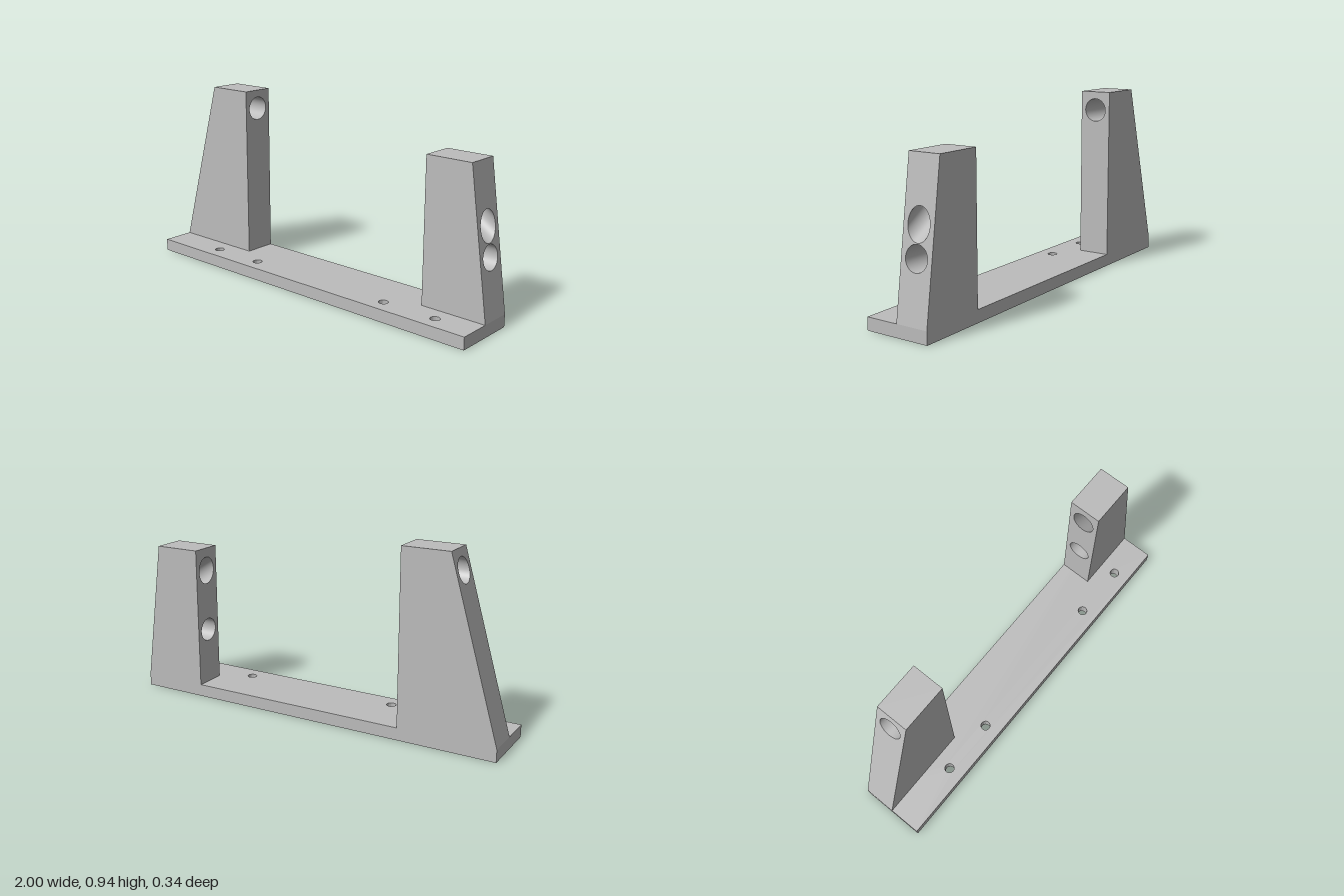
import * as THREE from 'three';
import { toCreasedNormals } from 'three/addons/utils/BufferGeometryUtils.js';

const PLATE_TOP = 0.063, HALF_DEPTH = 0.168, HALF_POST = 0.084, SEGMENTS = 48;

// Surface stretched between two matching rings of 3D points
function loft(a, b, closed, smooth) {
  const n = a.length, index = [];
  for (let i = 0; i < (closed ? n : n - 1); i++) {
    const j = (i + 1) % n;
    index.push(i, j, n + j, i, n + j, n + i);
  }
  const geometry = new THREE.BufferGeometry().setFromPoints([...a, ...b]);
  geometry.setIndex(index);
  const result = smooth ? geometry : geometry.toNonIndexed();
  result.computeVertexNormals();
  return result;
}

// End face through an outline and hole rings; side +1 looks outward, -1 inward
function endFace(outline, rings, side, xAt) {
  const flat = (ring) => ring.map((p) => new THREE.Vector2(-side * p.z, p.y));
  const shape = new THREE.Shape(flat(outline));
  rings.forEach((ring) => shape.holes.push(new THREE.Path(flat(ring))));
  const geometry = new THREE.ShapeGeometry(shape);
  const pos = geometry.attributes.position;
  for (let i = 0; i < pos.count; i++) {
    const z = -side * pos.getX(i), y = pos.getY(i);
    pos.setXYZ(i, xAt(y), y, z);
  }
  geometry.computeVertexNormals();
  return geometry;
}

// Upright with a vertical inner face, sloping outer face and bored holes
function makePost(name, material, { inner, outerTop, top, bores }) {
  const group = new THREE.Group();
  group.name = name;
  const add = (part, geometry) => {
    const mesh = new THREE.Mesh(geometry, material);
    mesh.name = part;
    group.add(mesh);
  };
  const k = (1 - outerTop) / (top - PLATE_TOP);
  const innerX = () => inner;
  const outerX = (y) => 1 - k * (y - PLATE_TOP);
  const outline = (xAt) => [
    [-HALF_POST, PLATE_TOP], [-HALF_POST, top], [HALF_POST, top], [HALF_POST, PLATE_TOP],
  ].map(([z, y]) => new THREE.Vector3(xAt(y), y, z));
  const innerOutline = outline(innerX), outerOutline = outline(outerX);
  add('postSides', loft(innerOutline, outerOutline, false, false));

  // Each bore runs from y on the inner face, falling by `drop` per unit of x
  const innerRings = [], outerRings = [];
  for (const { y, r, drop } of bores) {
    const a = [], b = [];
    for (let i = 0; i < SEGMENTS; i++) {
      const t = (i / SEGMENTS) * Math.PI * 2;
      const z = r * Math.cos(t);
      const yi = y + r * Math.hypot(1, drop) * Math.sin(t);
      const x = (1 + k * (PLATE_TOP - yi - drop * inner)) / (1 - k * drop);
      a.push(new THREE.Vector3(inner, yi, z));
      b.push(new THREE.Vector3(x, yi - drop * (x - inner), z));
    }
    innerRings.push(a);
    outerRings.push(b);
    add('boreWall', loft(a, b, true, true));
  }
  add('innerFace', endFace(innerOutline, innerRings, -1, innerX));
  add('outerFace', endFace(outerOutline, outerRings, 1, outerX));
  group.position.z = -HALF_POST;
  return group;
}

// Base plate with four screw holes along the front
function makePlate(material) {
  const shape = new THREE.Shape([
    new THREE.Vector2(-1, -HALF_DEPTH), new THREE.Vector2(1, -HALF_DEPTH),
    new THREE.Vector2(1, HALF_DEPTH), new THREE.Vector2(-1, HALF_DEPTH),
  ]);
  for (const x of [-0.645, -0.35, 0.495, 0.79]) {
    shape.holes.push(new THREE.Path().absarc(x, -0.086, 0.024, 0, Math.PI * 2, true));
  }
  const geometry = new THREE.ExtrudeGeometry(shape, {
    depth: PLATE_TOP, bevelEnabled: false, curveSegments: 24,
  });
  geometry.rotateX(-Math.PI / 2);
  const mesh = new THREE.Mesh(toCreasedNormals(geometry, 0.6), material);
  mesh.name = 'basePlate';
  return mesh;
}

export function createModel() {
  const grey = new THREE.MeshStandardMaterial({ color: 0xbcbcbc });
  grey.name = 'plain grey';
  const model = new THREE.Group();
  model.name = 'bracket';

  const shortPost = makePost('shortPost', grey, {
    inner: 0.653, outerTop: 0.895, top: 0.79,
    bores: [{ y: 0.35, r: 0.06, drop: 0 }, { y: 0.672, r: 0.06, drop: 0.63 }],
  });
  const tallPost = makePost('tallPost', grey, {
    inner: 0.502, outerTop: 0.745, top: 0.942,
    bores: [{ y: 0.845, r: 0.06, drop: 0 }],
  });
  tallPost.rotation.y = Math.PI;

  model.add(makePlate(grey), shortPost, tallPost);
  return model;
}
